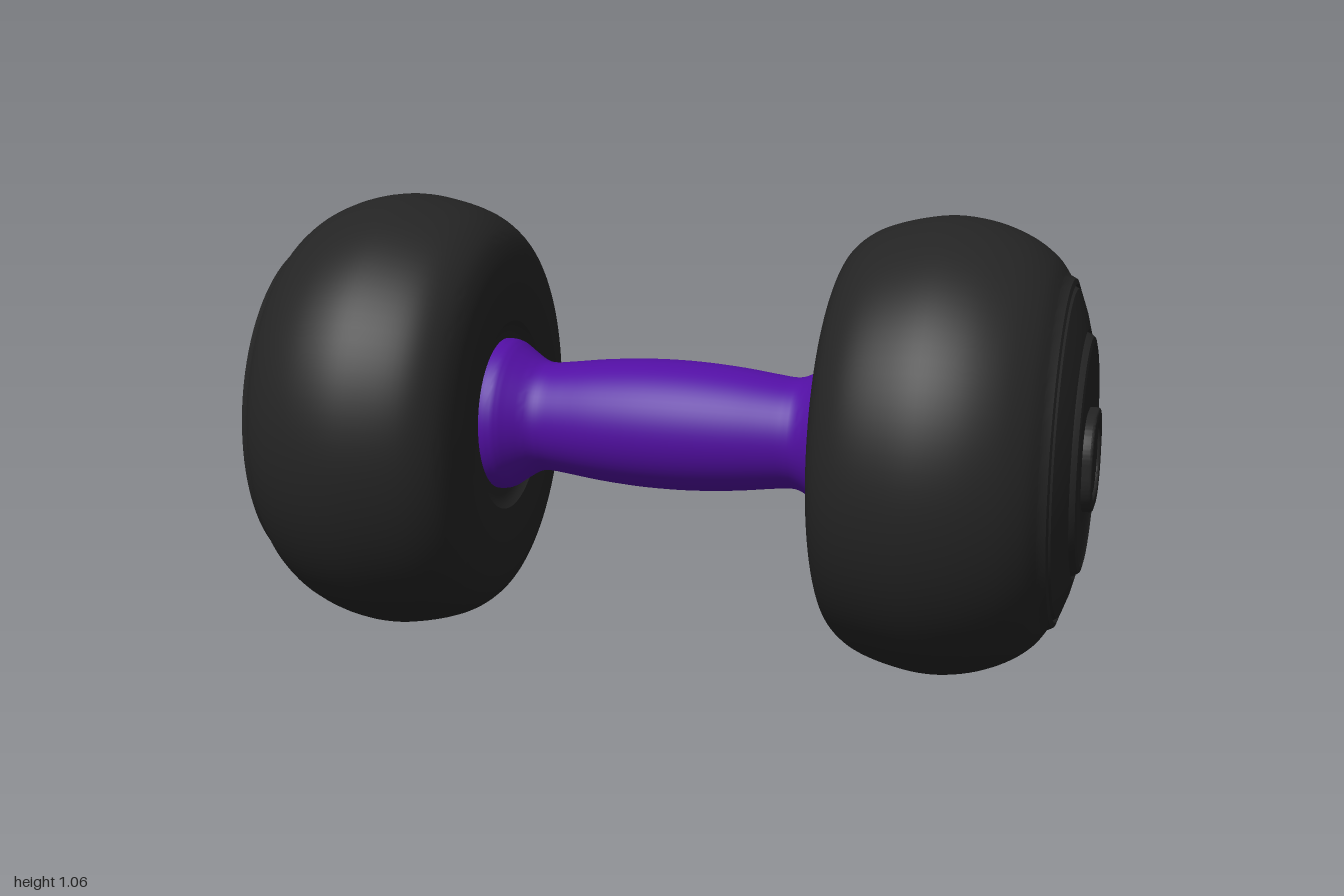
import * as THREE from 'three';
import { toCreasedNormals } from 'three/addons/utils/BufferGeometryUtils.js';

const CENTER_Y = 0.53;
const rubber = new THREE.MeshStandardMaterial({ color: 0x242424 });
rubber.name = 'black rubber';
const purple = new THREE.MeshStandardMaterial({ color: 0x520fa3 });
purple.name = 'purple grip';

const v = ([r, x]) => new THREE.Vector2(r, x);

// Spins a [radius, x] profile around the x axis
function spin(points, segments) {
  const geo = new THREE.LatheGeometry(points, segments);
  geo.rotateZ(-Math.PI / 2);
  return toCreasedNormals(geo, 0.5);
}

// Rounded rectangle traced onto a Shape or Path
function roundedRect(path, w, h, r) {
  path.moveTo(w - r, -h);
  path.absarc(w - r, -h + r, r, -Math.PI / 2, 0);
  path.absarc(w - r, h - r, r, 0, Math.PI / 2);
  path.absarc(-w + r, h - r, r, Math.PI / 2, Math.PI);
  path.absarc(-w + r, -h + r, r, Math.PI, Math.PI * 1.5);
  path.closePath();
  return path;
}

function add(parent, name, geo, material) {
  const mesh = new THREE.Mesh(geo, material);
  mesh.name = name;
  parent.add(mesh);
  return mesh;
}

// One weight head, facing +x
function buildWeight() {
  const weight = new THREE.Group();

  // Dished inner face, bulging tread, then the stepped outer face
  const dish = [[0, 0.425], [0.2, 0.425], [0.22, 0.418], [0.23, 0.408]].map(v);
  const tread = new THREE.SplineCurve([
    [0.26, 0.404], [0.34, 0.403], [0.40, 0.412], [0.45, 0.437], [0.49, 0.49],
    [0.516, 0.57], [0.528, 0.66], [0.516, 0.75], [0.485, 0.83], [0.445, 0.885], [0.405, 0.915],
  ].map(v)).getPoints(50);
  const face = [
    [0.397, 0.93], [0.385, 0.934], [0.38, 0.928], [0.374, 0.938],
    [0.33, 0.954], [0.285, 0.966], [0.278, 0.962], [0.274, 0.97],
    [0.268, 0.978], [0.255, 0.981], [0.245, 0.976], [0.15, 0.977], [0, 0.977],
  ].map(v);
  const body = add(weight, 'weightBody', spin([...dish, ...tread, ...face], 96), rubber);
  body.scale.z = 0.988;

  // Raised rounded hub with a shallow recess
  const rim = roundedRect(new THREE.Shape(), 0.117, 0.107, 0.09);
  rim.holes.push(roundedRect(new THREE.Path(), 0.1, 0.088, 0.075));
  const rimGeo = new THREE.ExtrudeGeometry(rim, {
    depth: 0.022, bevelThickness: 0.006, bevelSize: 0.006, bevelSegments: 3, curveSegments: 14,
  });
  const hub = new THREE.Group();
  hub.name = 'hub';
  add(hub, 'hubRim', toCreasedNormals(rimGeo, 0.6), rubber);
  const plate = new THREE.ExtrudeGeometry(
    roundedRect(new THREE.Shape(), 0.105, 0.095, 0.08),
    { depth: 0.021, bevelEnabled: false, curveSegments: 14 });
  add(hub, 'hubPlate', plate, rubber);
  hub.rotation.y = Math.PI / 2;
  hub.position.set(0.972, -0.01, 0);
  weight.add(hub);
  return weight;
}

export function createModel() {
  const model = new THREE.Group();
  model.name = 'dumbbell';

  // Barrel-shaped grip flaring into both heads
  const half = [
    [0.155, 0], [0.153, 0.08], [0.146, 0.17], [0.136, 0.25], [0.131, 0.30],
    [0.138, 0.33], [0.16, 0.365], [0.177, 0.39], [0.183, 0.41], [0.183, 0.43],
  ];
  const mirrored = half.slice(1).reverse().map(([r, x]) => [r, -x]);
  const profile = new THREE.SplineCurve([...mirrored, ...half].map(v)).getPoints(72);
  const handle = add(model, 'handle', spin(profile, 64), purple);
  handle.position.set(0, CENTER_Y + 0.003, -0.003);

  // Matching weights at both ends
  for (const side of [1, -1]) {
    const weight = buildWeight();
    weight.name = side > 0 ? 'leftWeight' : 'rightWeight';
    weight.position.y = CENTER_Y;
    if (side < 0) weight.rotation.y = Math.PI;
    model.add(weight);
  }
  return model;
}
